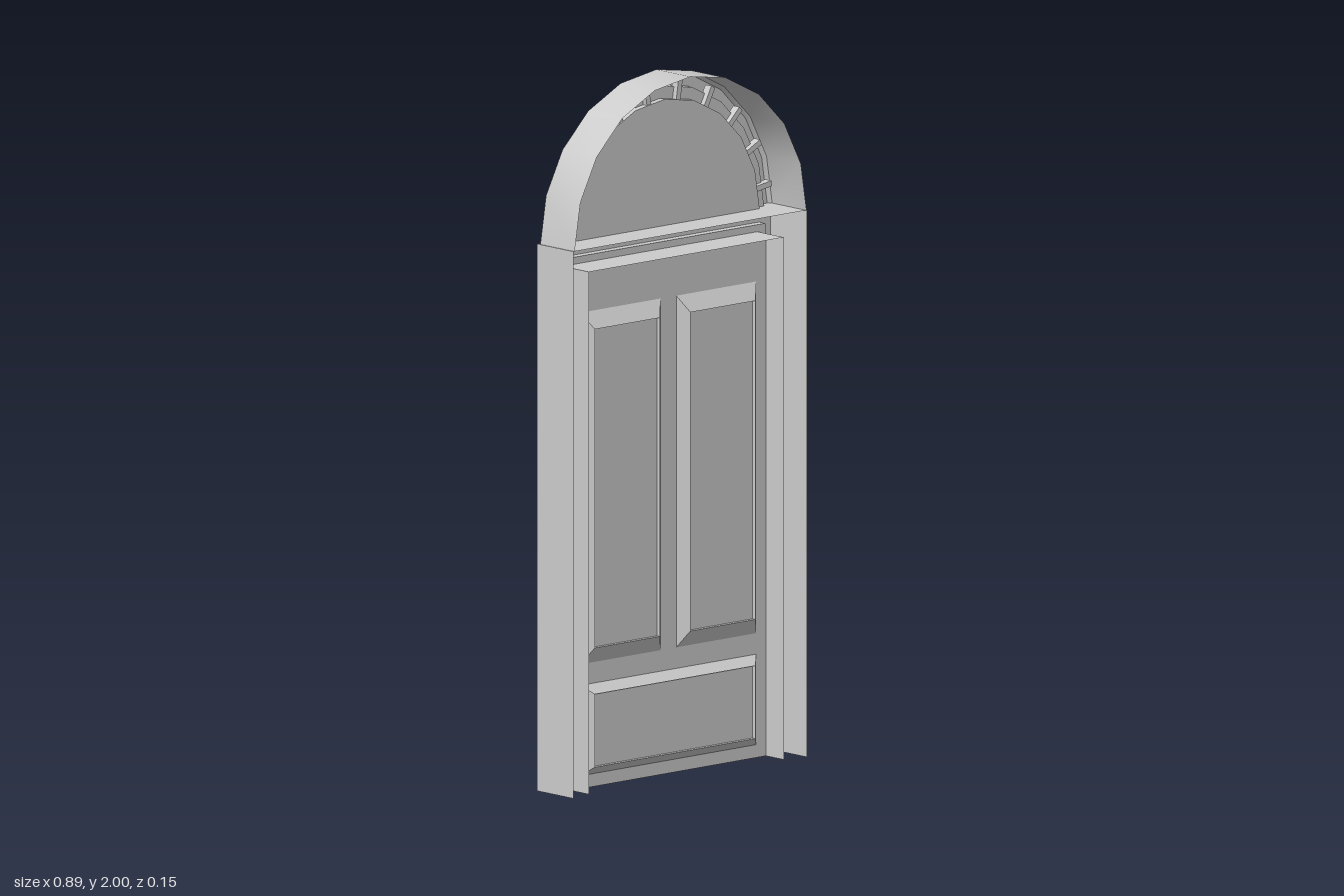
import * as THREE from 'three';
import { mergeGeometries } from 'three/addons/utils/BufferGeometryUtils.js';

const mat = new THREE.MeshStandardMaterial({ color: 0xcccccc, side: THREE.DoubleSide });
const SPRING = 1.56; // height where the arch begins

function add(parent, name, geo) {
  const mesh = new THREE.Mesh(geo, mat);
  mesh.name = name;
  parent.add(mesh);
  return mesh;
}

// Joins consecutive loops of [x, y, z] points with strips; each strip keeps its own edges sharp.
function skin(loops, smooth) {
  const strips = [];
  for (let i = 0; i < loops.length - 1; i++) {
    const n = loops[i].length, index = [];
    for (let j = 0; j < n - 1; j++) index.push(j, j + 1, n + j, j + 1, n + j + 1, n + j);
    let geo = new THREE.BufferGeometry();
    geo.setAttribute('position', new THREE.Float32BufferAttribute([...loops[i], ...loops[i + 1]].flat(), 3));
    geo.setIndex(index);
    geo = smooth ? geo : geo.toNonIndexed();
    geo.computeVertexNormals();
    strips.push(geo);
  }
  return mergeGeometries(strips);
}

// Sweeps [radius, z] points around the half circle of the fanlight.
function archSweep(profile, segments, dip = 0) {
  return skin(profile.map(([r, z]) => Array.from({ length: segments + 1 }, (_, i) => {
    const a = -dip + (Math.PI + 2 * dip) * i / segments;
    return [r * Math.cos(a), SPRING + r * Math.sin(a), z];
  })), true);
}

const rect = (x0, y0, x1, y1, z) => [[x0, y0, z], [x1, y0, z], [x1, y1, z], [x0, y1, z], [x0, y0, z]];

export function createModel() {
  const model = new THREE.Group();
  model.name = 'archedDoor';

  // Hollow rebated frame: [half width, top, z], open towards the wall
  const frame = [
    [0.443, SPRING, 0.075], [0.443, SPRING, -0.075], [0.4, 1.51, -0.075],
    [0.4, 1.51, -0.05], [0.37, 1.49, -0.05], [0.37, 1.49, 0.06],
  ];
  add(model, 'doorFrame', skin(frame.map(([w, t, z]) => [[-w, 0, z], [-w, t, z], [w, t, z], [w, 0, z]])));

  // Door leaf: a thin sheet with three pressed panels
  const door = new THREE.Group();
  door.name = 'door';
  model.add(door);
  const Z = -0.015;
  const sheet = new THREE.Shape([[-0.37, 0], [0.37, 0], [0.37, 1.49], [-0.37, 1.49]].map(p => new THREE.Vector2(...p)));
  const panels = [ // x0, y0, x1, y1, bevel width in x, in y
    ['rightPanel', -0.333, 0.355, -0.03, 1.358, 0.028, 0.047],
    ['leftPanel', 0.03, 0.355, 0.333, 1.358, 0.028, 0.047],
    ['lowerPanel', -0.333, 0.037, 0.333, 0.295, 0.028, 0.025],
  ];
  for (const [name, x0, y0, x1, y1, bx, by] of panels) {
    sheet.holes.push(new THREE.Path(rect(x0, y0, x1, y1, 0).slice(0, 4).reverse().map(p => new THREE.Vector2(p[0], p[1]))));
    const inner = z => rect(x0 + bx, y0 + by, x1 - bx, y1 - by, z);
    add(door, name + 'Moulding', skin([rect(x0, y0, x1, y1, Z), inner(Z + 0.028), inner(Z + 0.016)]));
    add(door, name, new THREE.PlaneGeometry(x1 - x0 - 2 * bx, y1 - y0 - 2 * by))
      .position.set((x0 + x1) / 2, (y0 + y1) / 2, Z + 0.016);
  }
  add(door, 'doorSheet', new THREE.ShapeGeometry(sheet)).position.z = Z;

  // Lever handle with rosette and spindle
  const handle = new THREE.Group();
  handle.name = 'handle';
  handle.position.set(-0.345, 0.73, 0);
  door.add(handle);
  const rod = (name, r, z0, z1) => {
    const geo = new THREE.CylinderGeometry(r, r, z1 - z0, 12).rotateX(Math.PI / 2);
    add(handle, name, geo).position.z = (z0 + z1) / 2;
  };
  rod('rosette', 0.019, Z - 0.01, Z);
  rod('spindle', 0.01, -0.072, Z + 0.005);
  add(handle, 'lever', new THREE.BoxGeometry(0.145, 0.018, 0.014)).position.set(0.0625, 0, -0.066);

  // Arched frame of the fanlight, hollow towards the wall
  add(model, 'archFrame', archSweep([
    [0.44, 0.077], [0.44, -0.065], [0.43, -0.075], [0.395, -0.075],
    [0.395, -0.05], [0.36, -0.05], [0.36, -0.03],
  ], 10));

  // Fanlight pane, hub and radiating bars
  add(model, 'fanlightPane', new THREE.CircleGeometry(0.36, 10, 0, Math.PI)).position.set(0, SPRING, -0.03);
  add(model, 'fanlightHub', archSweep([[0.14, -0.03], [0.14, -0.062], [0.112, -0.062], [0.112, -0.03]], 12, 0.12));
  const bars = new THREE.Group();
  bars.name = 'fanlightBars';
  model.add(bars);
  for (let i = 0; i < 10; i++) {
    const a = (i + 0.5) * Math.PI / 10, r = 0.27;
    const bar = add(bars, 'bar', new THREE.BoxGeometry(0.29, 0.016, 0.025));
    bar.position.set(r * Math.cos(a), SPRING + r * Math.sin(a), -0.047);
    bar.rotation.z = a;
  }
  return model;
}
